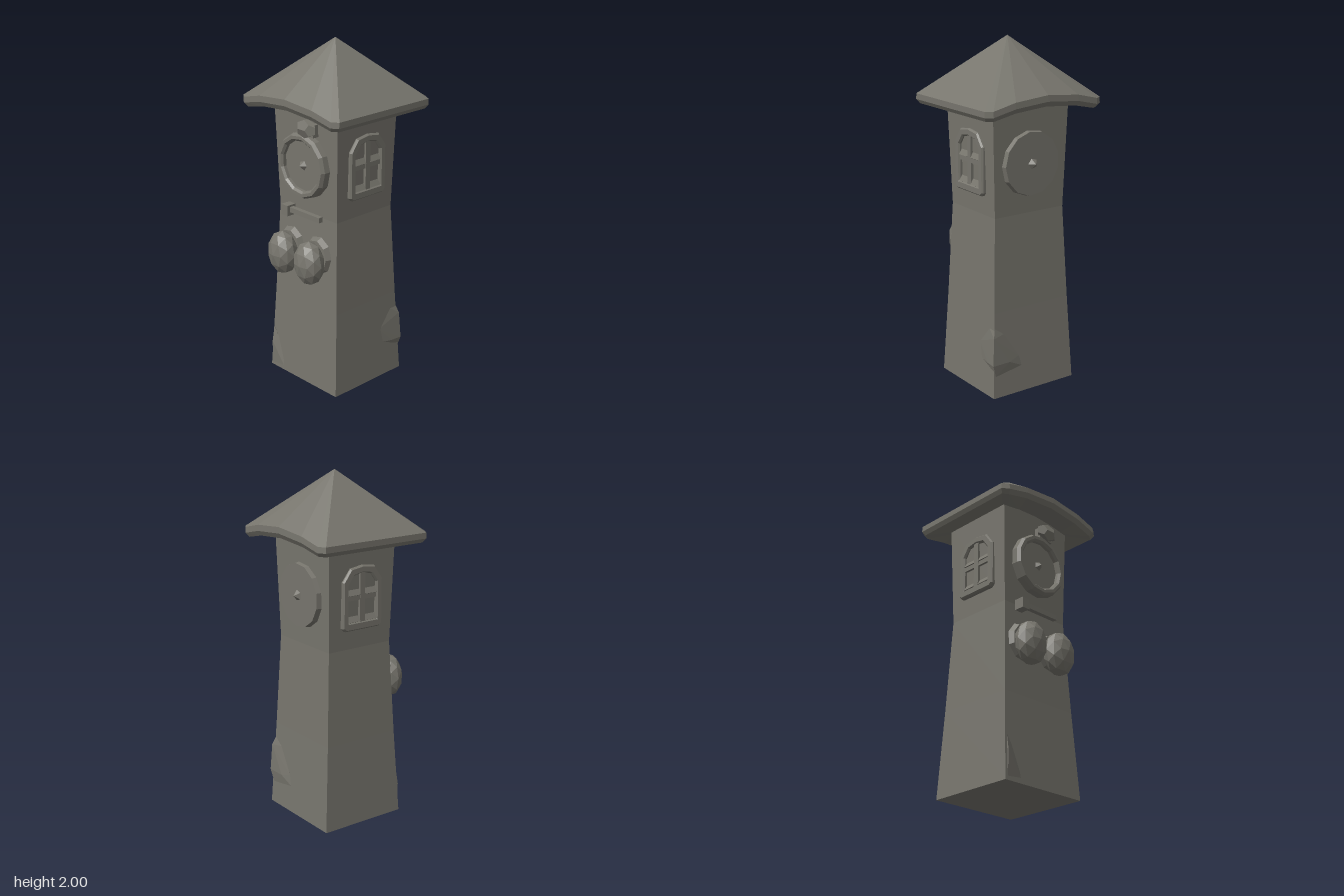
import * as THREE from 'three';
import { ConvexGeometry } from 'three/addons/geometries/ConvexGeometry.js';

const material = new THREE.MeshStandardMaterial({ color: 0x77756d, flatShading: true });

function add(parent, name, geometry, x = 0, y = 0, z = 0) {
  const mesh = new THREE.Mesh(geometry, material);
  mesh.name = name;
  mesh.position.set(x, y, z);
  parent.add(mesh);
  return mesh;
}

const hull = (points) => new ConvexGeometry(points.map((p) => new THREE.Vector3(...p)));

// Skin between rings of [x, y, z] points, listed from the bottom up
function loft(rings) {
  const pos = [];
  for (let i = 0; i < rings.length - 1; i++) {
    const n = rings[i].length;
    for (let j = 0; j < n; j++) {
      const k = (j + 1) % n;
      const a = rings[i][j], b = rings[i][k], c = rings[i + 1][k], d = rings[i + 1][j];
      pos.push(...a, ...d, ...c, ...a, ...c, ...b);
    }
  }
  const g = new THREE.BufferGeometry();
  g.setAttribute('position', new THREE.Float32BufferAttribute(pos, 3));
  g.computeVertexNormals();
  return g;
}

// Tapered square tower, narrowest at two thirds of its height
function towerGeometry() {
  const corners = [[1, 1], [-1, 1], [-1, -1], [1, -1]];
  const levels = [[0, 0, 0], [0.264, 0, 0.279], [0.236, 0.5, 0.256], [0.211, 1.04, 0.233], [0.226, 1.67, 0.254], [0, 1.67, 0]];
  return loft(levels.map(([hx, y, hz]) => corners.map(([sx, sz]) => [sx * hx, y, sz * hz])));
}

// Pyramid roof: straight eaves front and back, arched eaves at the sides
function roofGeometry() {
  const half = [[0.34, -0.384, 0]];
  for (const t of [-1, -0.6, 0, 0.6, 1]) half.push([0.365 + 0.009 * (1 - t * t), t * 0.345, 1 - t * t]);
  half.push([0.34, 0.384, 0]);
  const rim = [...half, ...half.map(([x, z, l]) => [-x, -z, l])];
  const ring = (sx, sz, y, lift) => rim.map(([x, z, l]) => [x * sx, y + lift * l, z * sz]);
  return loft([
    ring(0.58, 0.62, 1.64, 0.02),
    ring(0.955, 0.96, 1.612, 0.045),
    ring(1, 1, 1.635, 0.05),
    ring(0.995, 1, 1.668, 0.052),
    ring(0, 0, 2, 0),
  ]);
}

// Outline with clipped corners and a low pointed head, for frame and opening
function arch(Type, w, bottom, shoulder, top, clip) {
  const p = [
    [-w + clip, bottom], [w - clip, bottom], [w, bottom + clip], [w, shoulder], [w * 0.62, top - 0.012],
    [0, top], [-w * 0.62, top - 0.012], [-w, shoulder], [-w, bottom + clip],
  ];
  return new Type(p.map(([x, y]) => new THREE.Vector2(x, y)));
}

function makeWindow(name) {
  const g = new THREE.Group();
  g.name = name;
  const frame = arch(THREE.Shape, 0.127, 1.158, 1.425, 1.503, 0.014);
  frame.holes.push(arch(THREE.Path, 0.102, 1.19, 1.41, 1.476, 0.004));
  add(g, 'windowFrame', new THREE.ExtrudeGeometry(frame, {
    depth: 0.028, bevelEnabled: true, bevelSize: 0.008, bevelThickness: 0.01, bevelSegments: 1,
  }), 0, 0, 0.226);
  add(g, 'mullion', new THREE.BoxGeometry(0.034, 0.29, 0.03), 0, 1.335, 0.243);
  add(g, 'crossbar', new THREE.BoxGeometry(0.21, 0.032, 0.028), 0, 1.335, 0.242);
  // Sloped ledges at the foot of each pane
  for (const s of [-1, 1]) {
    for (const y of [1.21, 1.36]) {
      const ledge = add(g, 'paneLedge', new THREE.BoxGeometry(0.085, 0.035, 0.014), s * 0.058, y, 0.246);
      ledge.rotation.x = -0.5;
    }
  }
  return g;
}

// Dials are built around +y, then turned to face the given side
function makeDial(name, side, z) {
  const g = new THREE.Group();
  g.name = name;
  g.rotation.z = -side * Math.PI / 2;
  g.position.set(0, 1.325, z);
  return g;
}

export function createModel() {
  const model = new THREE.Group();
  model.name = 'clockTower';

  add(model, 'towerBody', towerGeometry());
  add(model, 'roof', roofGeometry());

  const front = makeWindow('frontWindow');
  const back = makeWindow('backWindow');
  back.rotation.y = Math.PI;
  model.add(front, back);

  // Plain round disc with a pointed hub on the left wall
  const disc = makeDial('leftDisc', 1, 0.005);
  add(disc, 'discPlate', new THREE.CylinderGeometry(0.18, 0.19, 0.06, 13), 0, 0.218, 0);
  add(disc, 'discHub', new THREE.ConeGeometry(0.037, 0.035, 5), 0, 0.26, 0);
  model.add(disc);

  // Clock with a raised rim on the right wall
  const clock = makeDial('rightClock', -1, 0);
  const rim = [[0.145, 0.2], [0.187, 0.2], [0.187, 0.255], [0.175, 0.274], [0.157, 0.274], [0.145, 0.262], [0.145, 0.2]];
  add(clock, 'clockRim', new THREE.LatheGeometry(rim.map(([r, y]) => new THREE.Vector2(r, y)), 13));
  add(clock, 'clockFace', new THREE.CylinderGeometry(0.15, 0.15, 0.05, 13), 0, 0.218, 0);
  add(clock, 'clockHub', new THREE.ConeGeometry(0.03, 0.03, 5), 0, 0.256, 0);
  model.add(clock);

  // Ornament above the clock
  const crest = add(model, 'clockCrest', new THREE.DodecahedronGeometry(1), -0.265, 1.55, 0.05);
  crest.scale.set(0.038, 0.055, 0.075);
  add(model, 'crestMount', new THREE.BoxGeometry(0.05, 0.07, 0.1), -0.235, 1.54, 0.05);

  // Rail with a knob at its back end, under the clock
  add(model, 'rail', new THREE.BoxGeometry(0.028, 0.03, 0.27), -0.24, 1.04, 0);
  add(model, 'railKnob', new THREE.BoxGeometry(0.06, 0.062, 0.05), -0.242, 1.035, -0.13);

  // Pair of faceted bells with flat collars against the wall
  for (const z of [-0.12, 0.1]) {
    const bell = add(model, 'bell', new THREE.IcosahedronGeometry(1, 1), -0.297, 0.79, z);
    bell.scale.set(0.077, 0.13, 0.1);
    const collar = add(model, 'bellCollar', new THREE.CylinderGeometry(0.85, 1, 1, 9), -0.235, 0.815, z);
    collar.rotation.z = Math.PI / 2;
    collar.scale.set(0.115, 0.03, 0.1);
  }

  // Broken plaster patch wrapped around the front left corner
  add(model, 'plasterPatch', hull([
    [0.238, 0.42, 0.255], [0.258, 0.36, 0.274], [0.266, 0.2, 0.284], [0.257, 0.13, 0.262],
    [0.17, 0.42, 0.255], [0.1, 0.3, 0.264], [0.11, 0.21, 0.267], [0.2, 0.2, 0.278],
    [0.242, 0.37, 0.19], [0.252, 0.22, 0.1], [0.254, 0.15, 0.07], [0.264, 0.2, 0.17], [0.2, 0.25, 0.2],
  ]));

  // Small chipped wedge at the foot of the back right corner
  add(model, 'cornerChip', hull([
    [-0.255, 0.25, -0.26], [-0.27, 0.16, -0.262], [-0.268, 0.02, -0.265],
    [-0.265, 0.03, -0.17], [-0.25, 0.14, -0.18], [-0.2, 0.1, -0.2],
  ]));

  return model;
}
